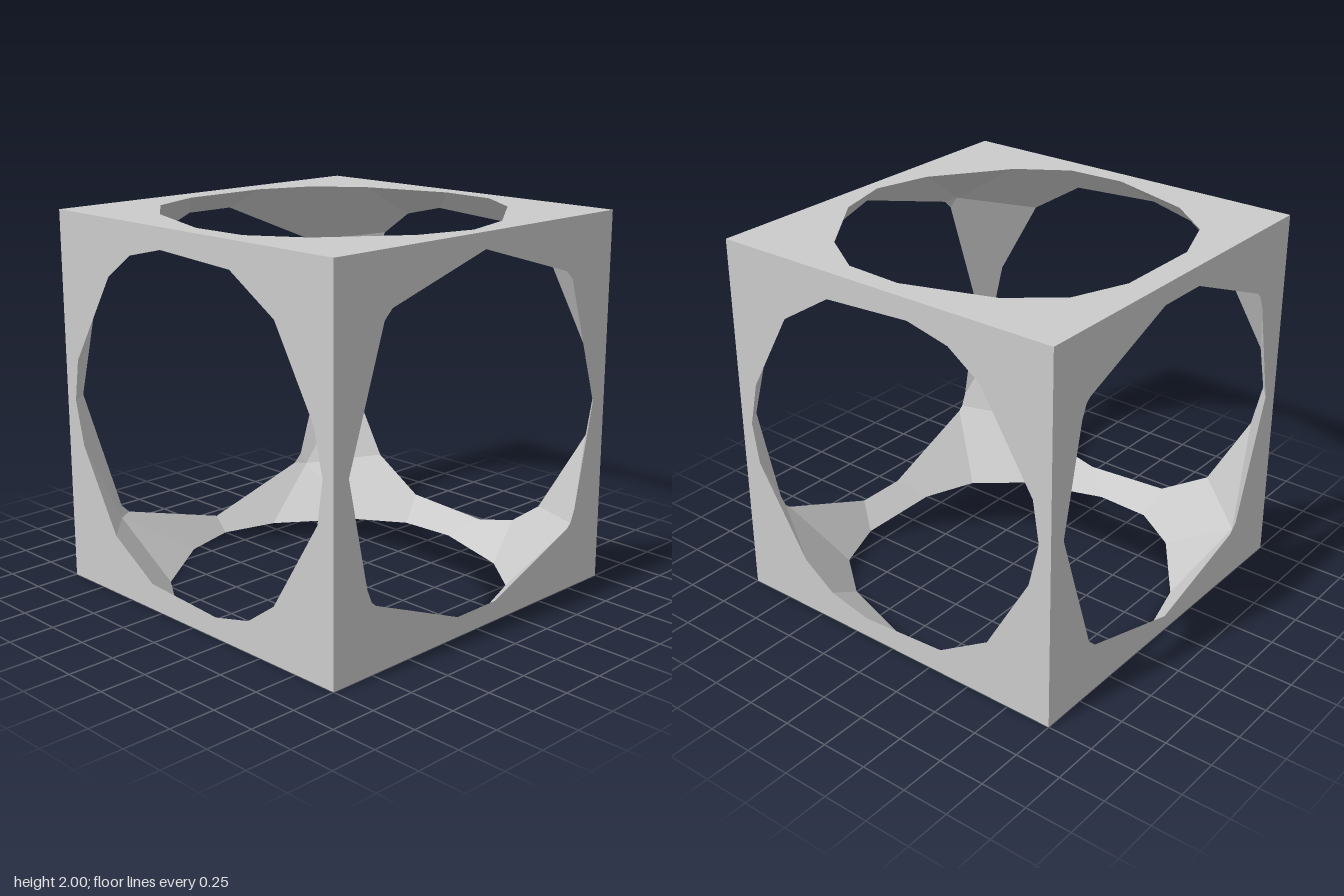
import * as THREE from 'three';

const RADIUS = 1.41; // faceted ball that hollows the cube (half size 1)

// Faceted ball with a corner pointing straight up, as a list of triangles
function ballTriangles() {
  const geo = new THREE.IcosahedronGeometry(RADIUS, 1);
  geo.rotateZ(-Math.atan(2 / (1 + Math.sqrt(5))));
  const pos = geo.getAttribute('position');
  const tris = [];
  for (let i = 0; i < pos.count; i += 3) {
    tris.push([0, 1, 2].map((k) => new THREE.Vector3().fromBufferAttribute(pos, i + k)));
  }
  return tris;
}

// Point where the line a-b meets the plane axis = d
const crossing = (a, b, axis, d) => a.clone().lerp(b, (d - a[axis]) / (b[axis] - a[axis]));

// Keep the part of a polygon with sign * axis <= 1
function clip(poly, axis, sign) {
  const out = [];
  poly.forEach((a, i) => {
    const b = poly[(i + 1) % poly.length];
    const aIn = a[axis] * sign <= 1;
    const bIn = b[axis] * sign <= 1;
    if (aIn) out.push(a);
    if (aIn !== bIn) out.push(crossing(a, b, axis, sign));
  });
  return out;
}

// Square cube side at z = 1 with the ball's section cut out, turned into place
function sideGeometry(tris, rotation) {
  const inverse = rotation.clone().invert();
  const rim = [];
  for (const tri of tris) {
    const t = tri.map((p) => p.clone().applyMatrix4(inverse));
    t.forEach((a, i) => {
      const b = t[(i + 1) % 3];
      // upward crossings only, so each shared edge counts once
      if (a.z < 1 && b.z >= 1) rim.push(crossing(a, b, 'z', 1));
    });
  }
  rim.sort((a, b) => Math.atan2(a.y, a.x) - Math.atan2(b.y, b.x));
  const shape = new THREE.Shape([[-1, -1], [1, -1], [1, 1], [-1, 1]].map(([x, y]) => new THREE.Vector2(x, y)));
  shape.holes.push(new THREE.Path(rim.map((p) => new THREE.Vector2(p.x, p.y))));
  return new THREE.ShapeGeometry(shape).translate(0, 0, 1).applyMatrix4(rotation);
}

// Ball facets that remain inside the cube, facing inward
function hollowGeometry(tris) {
  const points = [];
  for (const tri of tris) {
    let poly = tri;
    for (const axis of ['x', 'y', 'z']) {
      for (const sign of [1, -1]) poly = clip(poly, axis, sign);
    }
    for (let i = 1; i + 1 < poly.length; i++) points.push(poly[0], poly[i + 1], poly[i]);
  }
  const geo = new THREE.BufferGeometry().setFromPoints(points);
  geo.computeVertexNormals();
  return geo;
}

export function createModel() {
  const group = new THREE.Group();
  group.name = 'hollowCube';
  const material = new THREE.MeshStandardMaterial({ color: 0xcccccc, flatShading: true });
  const tris = ballTriangles();
  const add = (name, geometry) => {
    const mesh = new THREE.Mesh(geometry, material);
    mesh.name = name;
    mesh.position.y = 1;
    group.add(mesh);
  };

  // Six pierced sides
  const q = Math.PI / 2;
  const turnX = (a) => new THREE.Matrix4().makeRotationX(a);
  const turnY = (a) => new THREE.Matrix4().makeRotationY(a);
  const sides = {
    frontSide: turnY(0), leftSide: turnY(q), backSide: turnY(2 * q),
    rightSide: turnY(-q), topSide: turnX(-q), bottomSide: turnX(q),
  };
  for (const [name, rotation] of Object.entries(sides)) add(name, sideGeometry(tris, rotation));

  // Faceted inner surface at the corners
  add('innerHollow', hollowGeometry(tris));
  return group;
}
